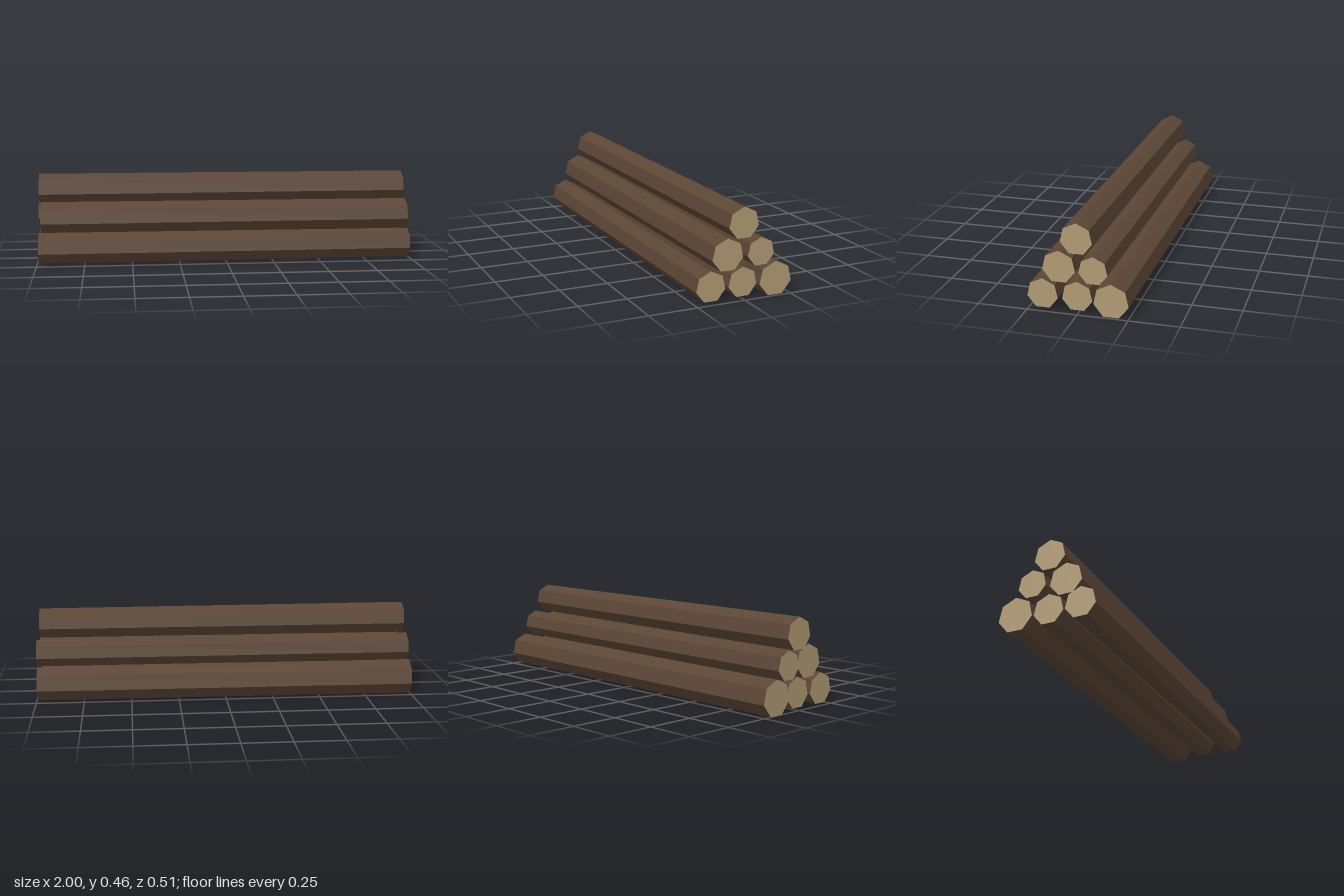
import * as THREE from 'three';

export function createModel() {
  const bark = new THREE.MeshStandardMaterial({ color: 0x5c4636 });
  bark.name = 'bark';
  const cutWood = new THREE.MeshStandardMaterial({ color: 0xb09a72 });
  cutWood.name = 'cutWood';

  // Seven-sided log along x, one corner up, tapering slightly toward +x
  function makeLog({ name, y, z, radius, from, to }) {
    const geometry = new THREE.CylinderGeometry(radius, radius * 0.95, to - from, 7).toNonIndexed();
    geometry.rotateX(-Math.PI / 2);
    geometry.rotateY(Math.PI / 2);
    geometry.computeVertexNormals(); // flat facets
    const log = new THREE.Mesh(geometry, [bark, cutWood, cutWood]); // side, two sawn ends
    log.name = name;
    log.position.set((from + to) / 2, y, z);
    return log;
  }

  const stack = new THREE.Group();
  stack.name = 'logPile';
  const logs = [
    { name: 'bottomFrontLog', y: 0.085, z: 0.175, radius: 0.0825, from: -0.99, to: 0.985 },
    { name: 'bottomMiddleLog', y: 0.085, z: 0.004, radius: 0.081, from: -0.985, to: 0.98 },
    { name: 'bottomBackLog', y: 0.084, z: -0.166, radius: 0.093, from: -1, to: 0.995 },
    { name: 'middleFrontLog', y: 0.231, z: 0.09, radius: 0.0875, from: -0.98, to: 0.99 },
    { name: 'middleBackLog', y: 0.231, z: -0.081, radius: 0.076, from: -1, to: 1 },
    { name: 'topLog', y: 0.376, z: 0.004, radius: 0.0845, from: -0.99, to: 0.985 },
  ];
  for (const log of logs) stack.add(makeLog(log));
  return stack;
}
